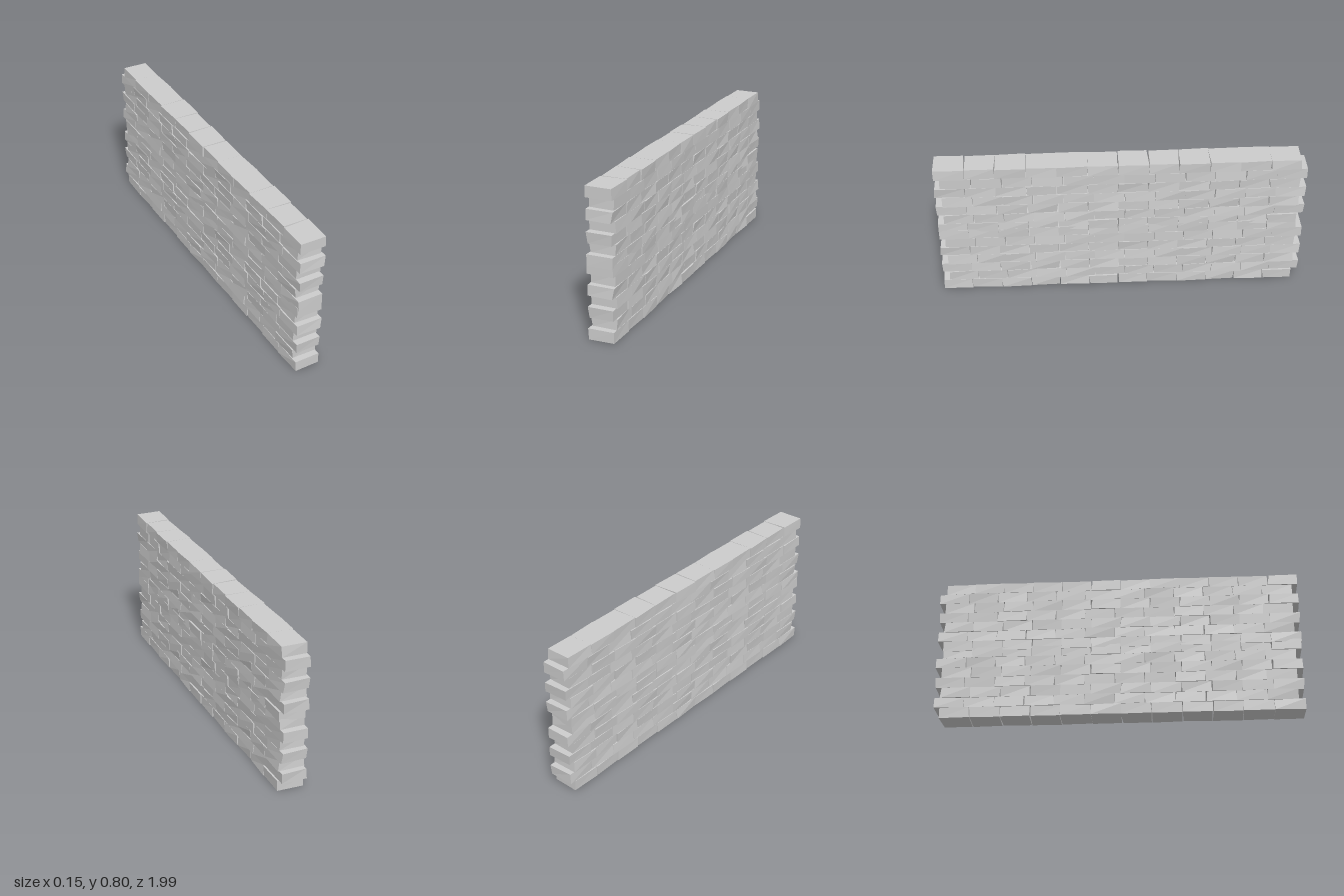
import * as THREE from 'three';

const ROWS = 7, COLS = 6;            // bricks in one repeating panel
const PITCH = 0.163;                 // brick spacing along the wall
const ROW = 0.0585;                  // course height
const PANEL_Y = 0.393, PANEL_Z = PITCH * COLS;
const SIZE = [0.139, 0.058, 0.1605];
const JITTER = [0.005, 0.0018, 0.004];

function seeded(seed) {
  return () => {
    seed = (seed * 16807) % 2147483647;
    return seed / 2147483647;
  };
}

// Box whose eight corners are nudged; flushBottom / flushTop keep a face level
function brickGeometry(rand, flushBottom, flushTop) {
  const geo = new THREE.BoxGeometry(...SIZE);
  const nudges = Array.from({ length: 8 }, () => JITTER.map((j) => (rand() * 2 - 1) * j));
  const p = geo.attributes.position;
  for (let i = 0; i < p.count; i++) {
    const v = [p.getX(i), p.getY(i), p.getZ(i)];
    const n = nudges[(v[0] > 0 ? 1 : 0) + (v[1] > 0 ? 2 : 0) + (v[2] > 0 ? 4 : 0)];
    const level = v[1] > 0 ? flushTop : flushBottom;
    p.setXYZ(i, v[0] + n[0], v[1] + (level ? 0 : n[1]), v[2] + n[2]);
  }
  geo.computeVertexNormals();
  return geo;
}

// One panel of staggered courses
function createPanel(material) {
  const rand = seeded(4711);
  const panel = new THREE.Group();
  panel.name = 'brickPanel';
  for (let r = 0; r < ROWS; r++) {
    const course = new THREE.Group();
    course.name = 'course';
    const start = r % 2 ? 0.963 : 0.997;
    for (let c = 0; c < COLS; c++) {
      const brick = new THREE.Mesh(brickGeometry(rand, r === 0, r === ROWS - 1), material);
      brick.name = 'brick';
      brick.position.set(0, SIZE[1] / 2 + r * ROW, start - (c + 0.5) * PITCH);
      course.add(brick);
    }
    panel.add(course);
  }
  return panel;
}

export function createModel() {
  const wall = new THREE.Group();
  wall.name = 'brickWall';
  const material = new THREE.MeshStandardMaterial({ color: 0xcccccc, flatShading: true });
  const panel = createPanel(material);

  // Two by two copies make the full wall
  for (let j = 0; j < 2; j++) {
    for (let i = 0; i < 2; i++) {
      const copy = panel.clone();
      copy.position.set(0, j * PANEL_Y, -i * PANEL_Z);
      wall.add(copy);
    }
  }
  return wall;
}
